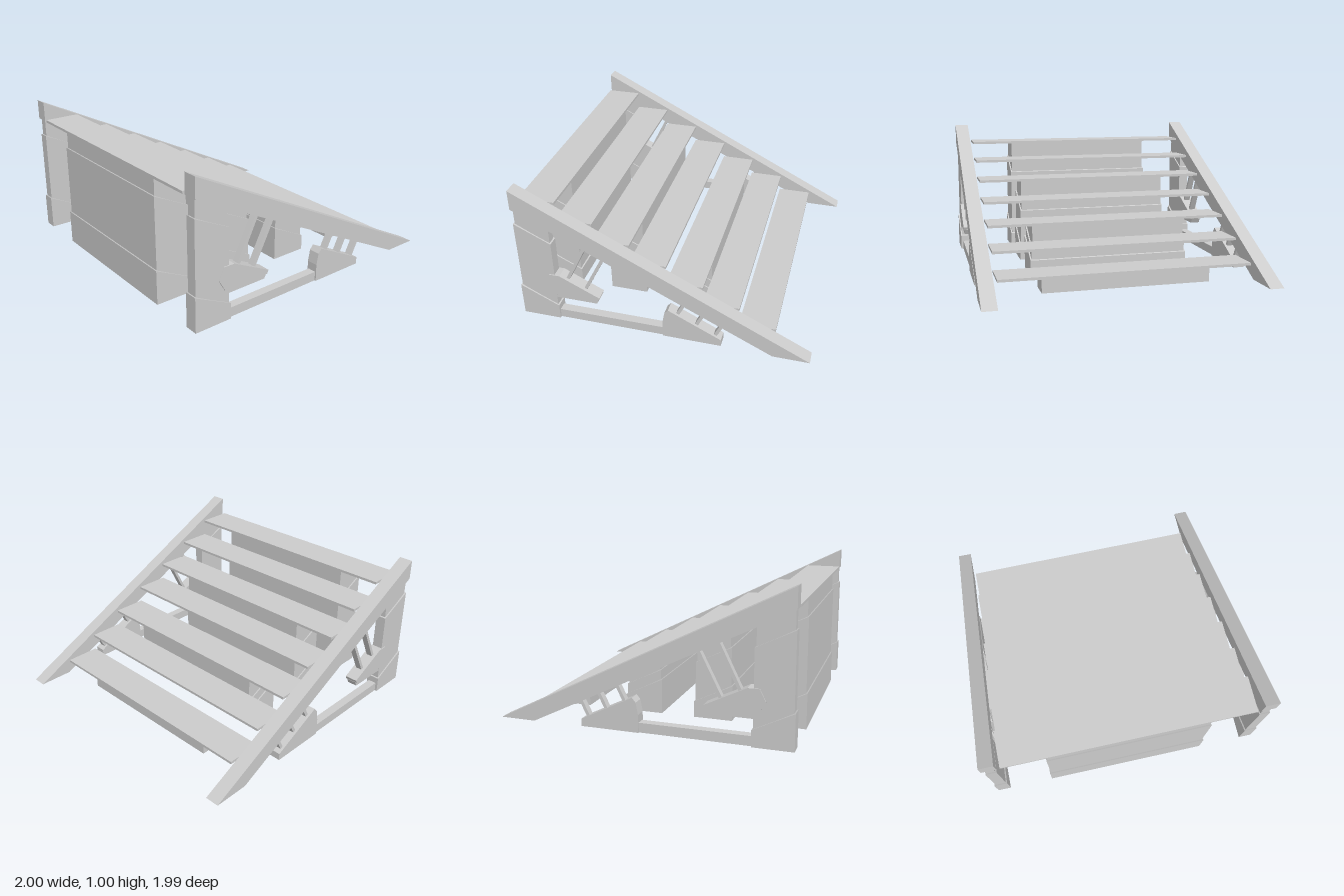
import * as THREE from 'three';

const material = new THREE.MeshStandardMaterial({ color: 0xcccccc, flatShading: true });

// Side profile (x, y) extruded along z, centred on zMid
function slab(name, points, depth, zMid = 0) {
  const shape = new THREE.Shape(points.map(([x, y]) => new THREE.Vector2(x, y)));
  const geometry = new THREE.ExtrudeGeometry(shape, { depth, bevelEnabled: false });
  geometry.translate(0, 0, zMid - depth / 2);
  const mesh = new THREE.Mesh(geometry, material);
  mesh.name = name;
  return mesh;
}

// Straight rectangular bar between two points of the side plane
function bar(name, [x0, y0], [x1, y1], width, depth, z) {
  const dx = x1 - x0, dy = y1 - y0;
  const mesh = new THREE.Mesh(new THREE.BoxGeometry(width, Math.hypot(dx, dy), depth), material);
  mesh.position.set((x0 + x1) / 2, (y0 + y1) / 2, z);
  mesh.rotation.z = -Math.atan2(dx, dy);
  mesh.name = name;
  return mesh;
}

// Column of three stacked sections with slanted joints, each a little slimmer than the one below
function column(name, x, capY, topLeft, topRight, depth, z = 0) {
  const group = new THREE.Group();
  group.name = name;
  const levels = [[0, 0], [0.24, 0.11], [capY, capY - 0.12], [topLeft, topRight]];
  ['Base', 'Shaft', 'Cap'].forEach((part, i) => {
    const grow = 0.009 - 0.009 * i;
    const l = x - grow, r = x + 0.248 + grow;
    const [a, b] = levels[i], [c, d] = levels[i + 1];
    group.add(slab(name + part, [[l, a], [r, b], [r, d], [l, c]], depth + 2 * grow, z));
  });
  return group;
}

export function createModel() {
  const model = new THREE.Group();
  model.name = 'staircase';
  const run = 0.2485, rise = 0.1255, startX = -0.99;

  // Treads
  for (let i = 0; i < 7; i++) {
    const tread = new THREE.Mesh(new THREE.BoxGeometry(run, 0.018, 1.74), material);
    tread.position.set(startX + run * (i + 0.5), 0.865 - rise * i, 0);
    tread.name = 'tread' + (i + 1);
    model.add(tread);
  }

  // Support walls below every second tread
  [0.74, 0.5, 0.305].forEach((capY, i) => {
    const top = 0.857 - 2 * rise * i;
    model.add(column('supportWall' + (i + 1), startX + 2 * run * i, capY, top, top, 1.14));
  });
  model.add(slab('supportWall4', [[0.54, 0], [0.71, 0], [0.71, 0.107], [0.54, 0.107]], 1.16));

  // Side frames, mirrored front and back
  for (const side of [1, -1]) {
    const frame = new THREE.Group();
    frame.name = side > 0 ? 'frontFrame' : 'backFrame';
    const z = side * 0.944;

    frame.add(slab('stringer', [[-0.99, 1], [-0.99, 0.86], [0.75, 0], [0.997, 0]], 0.1, z));
    frame.add(column('post', startX, 0.74, 0.875, 0.75, 0.075, z));
    frame.add(slab('groundBeam', [[-0.74, 0], [0.02, 0], [0.02, 0.065], [-0.74, 0.065]], 0.06, z));
    frame.add(slab('foot', [[0.005, 0], [0.405, 0], [0.405, 0.05], [0.045, 0.23], [0.02, 0.2], [0.005, 0.12]], 0.08, z));

    // Bracket on the post
    frame.add(slab('bracket', [[-0.82, 0.29], [-0.775, 0.21], [-0.44, 0.21], [-0.43, 0.235], [-0.705, 0.37], [-0.78, 0.37]], 0.09, z));
    frame.add(slab('bracketPlate', [[-0.76, 0.177], [-0.455, 0.177], [-0.435, 0.215], [-0.76, 0.215]], 0.07, z));

    // Struts up to the stringer
    frame.add(bar('longStrut', [-0.665, 0.32], [-0.505, 0.645], 0.022, 0.045, z));
    frame.add(bar('longStrut', [-0.545, 0.255], [-0.38, 0.58], 0.022, 0.045, z));
    for (let i = 0; i < 3; i++) {
      const x = 0.1 + 0.128 * i, y = 0.185 - 0.064 * i;
      frame.add(bar('shortStrut', [x, y], [x + 0.063, y + 0.126], 0.022, 0.045, z));
    }
    model.add(frame);
  }
  return model;
}
